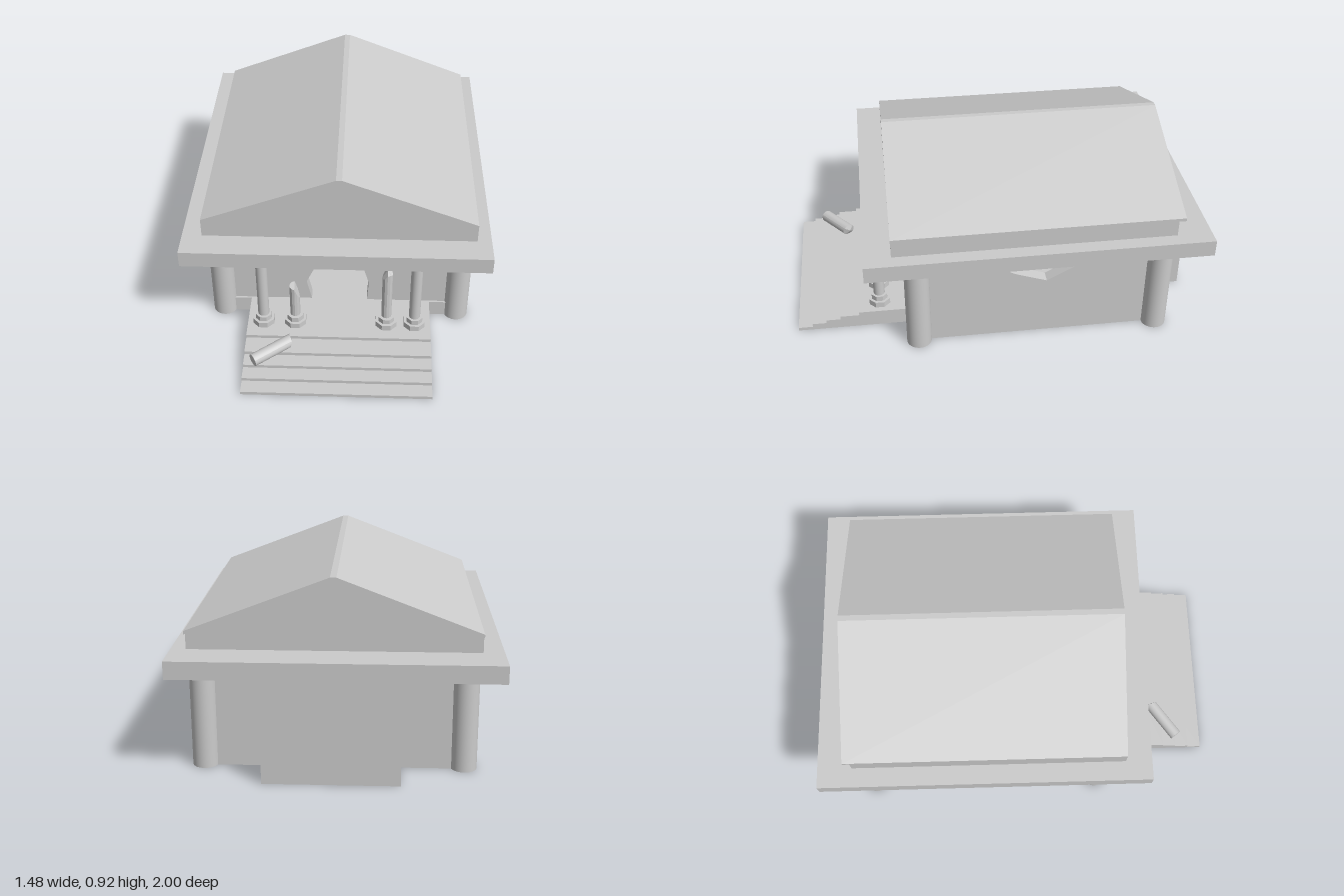
import * as THREE from 'three';

const CX = 0.013;          // middle of the walls and roof
const SLAB = 0.49;         // underside of the roof slab
const FLOOR = 0.085;
const material = new THREE.MeshStandardMaterial({ color: 0xcccccc, side: THREE.DoubleSide });
const flat = new THREE.MeshStandardMaterial({ color: 0xcccccc, side: THREE.DoubleSide, flatShading: true });

function shapeOf(points) {
  return new THREE.Shape(points.map(([x, y]) => new THREE.Vector2(x, y)));
}

function extrude(shape, depth) {
  return new THREE.ExtrudeGeometry(shape, { depth, bevelEnabled: false });
}

// Cylinder along y from its base; the top rim may be broken by a rule of (x, z) in radii.
function shaft(radius, height, sides, breakRule) {
  const g = new THREE.CylinderGeometry(radius, radius, height, sides);
  g.translate(0, height / 2, 0);
  if (breakRule) {
    const p = g.attributes.position;
    for (let i = 0; i < p.count; i++) {
      if (p.getY(i) > height * 0.9) p.setY(i, height - breakRule(p.getX(i) / radius, p.getZ(i) / radius));
    }
    g.computeVertexNormals();
  }
  return g;
}

export function createModel() {
  const model = new THREE.Group();

  function add(name, geometry, x = 0, y = 0, z = 0, mat = material, parent = model) {
    const mesh = new THREE.Mesh(geometry, mat);
    mesh.name = name;
    mesh.position.set(x, y, z);
    parent.add(mesh);
    return mesh;
  }
  function box(name, x0, x1, y0, y1, z0, z1) {
    return add(name, new THREE.BoxGeometry(x1 - x0, y1 - y0, z1 - z0),
      (x0 + x1) / 2, (y0 + y1) / 2, (z0 + z1) / 2);
  }

  // Floor and steps
  box('floor', -0.57, 0.6, 0, FLOOR, -0.79, 0.43);
  const rises = [1, 0.93, 0.86, 0.79, 0.695];
  rises.forEach((front, i) => {
    const h = FLOOR / rises.length;
    box('step', -0.44, 0.47, i * h, (i + 1) * h, 0.43, front);
  });

  // Front wall with a ragged doorway
  const front = shapeOf([[-0.58, 0], [0.61, 0], [0.61, SLAB], [-0.58, SLAB]]);
  front.holes.push(new THREE.Path([
    [-0.13, FLOOR], [-0.155, 0.2], [-0.105, 0.31], [-0.095, 0.335], [-0.04, 0.358], [0.03, 0.358],
    [0.12, 0.325], [0.13, 0.305], [0.16, 0.2], [0.153, FLOOR],
  ].map(([x, y]) => new THREE.Vector2(x, y))));
  add('frontWall', extrude(front, 0.06), 0, 0, 0.36);

  // Side wall with a hole broken out under the roof
  const side = shapeOf([
    [-0.8, 0], [0.36, 0], [0.36, SLAB], [-0.03, SLAB], [-0.045, 0.38], [-0.075, 0.365],
    [-0.225, 0.312], [-0.36, 0.385], [-0.4, SLAB], [-0.8, SLAB],
  ]);
  add('leftWall', extrude(side, 0.06), 0.61).rotation.y = -Math.PI / 2;
  box('rightWall', -0.58, -0.52, 0, SLAB, -0.8, 0.36);
  box('backWall', -0.52, 0.55, 0, SLAB, -0.8, -0.74);
  box('backChamber', -0.29, 0.33, 0, SLAB, -0.99, -0.8);

  // Thick corner columns
  for (const x of [-0.58, 0.61]) {
    for (const z of [0.405, -0.78]) add('cornerColumn', shaft(0.061, SLAB, 32), x, 0, z);
  }

  // Porch columns, the inner two snapped off
  const porch = [
    { x: -0.36, top: SLAB },
    { x: 0.39, top: SLAB },
    { x: -0.202, top: 0.33, rule: (x, z) => (x > 0.2 ? 0.075 * x : 0) + 0.006 * (1 + z) },
    { x: 0.25, top: 0.45, rule: (x, z) => 0.045 * Math.abs(x - 0.25) + 0.02 * Math.max(0, z) },
  ];
  for (const { x, top, rule } of porch) {
    const column = new THREE.Group();
    column.name = rule ? 'brokenColumn' : 'porchColumn';
    column.position.set(x, FLOOR, 0.588);
    model.add(column);
    const lower = shaft(0.056, 0.03, 8).rotateY(Math.PI / 8);
    const upper = shaft(0.042, 0.057, 8).rotateY(Math.PI / 8);
    add('columnFoot', lower, 0, 0, 0, flat, column);
    add('columnBase', upper, 0, 0, 0, flat, column);
    add('columnShaft', shaft(rule ? 0.025 : 0.028, top - FLOOR, rule ? 12 : 24, rule),
      0, 0, 0, rule ? flat : material, column);
  }

  // Fallen piece of column lying on the steps
  const from = new THREE.Vector3(-0.39, 0.084, 0.86);
  const along = new THREE.Vector3(-0.212, 0.098, 0.73).sub(from);
  const fallen = add('fallenColumn',
    shaft(0.031, along.length(), 20, (x, z) => 0.02 * Math.max(0, x) + 0.012 * Math.abs(z)),
    from.x, from.y, from.z);
  fallen.quaternion.setFromUnitVectors(new THREE.Vector3(0, 1, 0), along.normalize());

  // Roof slab, frieze with gables, and roof covering
  box('roofSlab', -0.74, 0.74, SLAB, 0.573, -1, 0.65);
  const eave = 0.658;
  const gable = shapeOf([
    [CX - eave, 0.573], [CX + eave, 0.573], [CX + eave, 0.652],
    [CX + 0.012, 0.9], [CX - 0.012, 0.9], [CX - eave, 0.652],
  ]);
  add('gable', extrude(gable, 1.35), 0, 0, -0.831);
  const covering = shapeOf([
    [CX - eave, 0.652], [CX - 0.012, 0.9], [CX + 0.012, 0.9], [CX + eave, 0.652],
    [CX + eave, 0.668], [CX + 0.014, 0.916], [CX - 0.014, 0.916], [CX - eave, 0.668],
  ]);
  add('roof', extrude(covering, 1.385), 0, 0, -0.865);

  return model;
}
